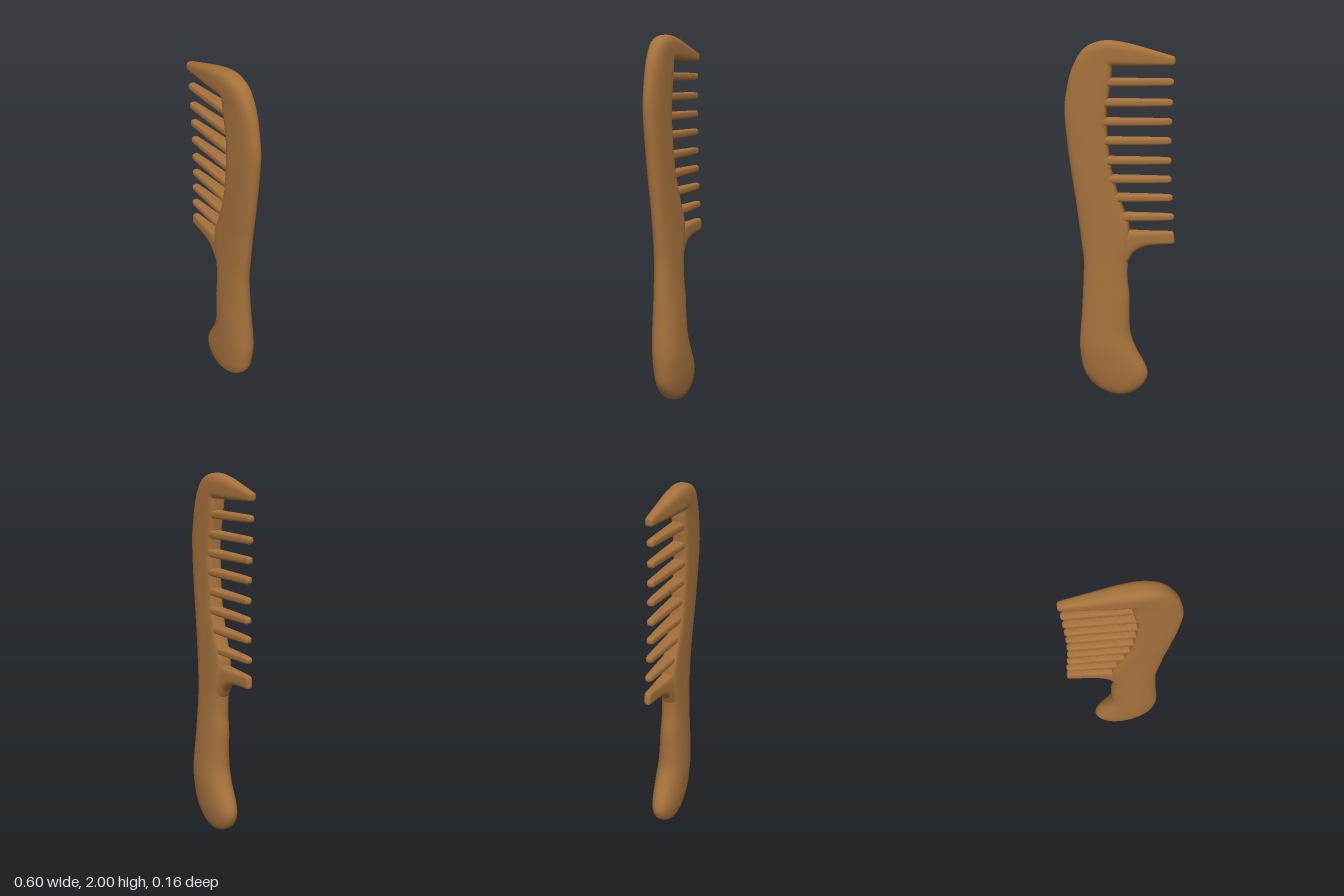
import * as THREE from 'three';

const wood = new THREE.MeshStandardMaterial({ color: 0xa5713c });
wood.name = 'warm wood';

// Lofts a closed skin through rows of
// [innerX, innerY, outerX, outerY, zCentre, halfThickness, innerRoundness, outerRoundness]
// (roundness 1 = elliptical edge, lower = squarer edge).
function loft(name, rows, steps, sides) {
  const curve = (a, b, c) => new THREE.CatmullRomCurve3(
    rows.map((r) => new THREE.Vector3(r[a], r[b], c === undefined ? 0 : r[c])), false, 'catmullrom', 0.5);
  const inner = curve(0, 1), outer = curve(2, 3), depth = curve(4, 5), round = curve(6, 7);
  const pos = [], index = [];
  const power = (v, e) => Math.sign(v) * Math.pow(Math.abs(v), e);
  for (let i = 0; i <= steps; i++) {
    const t = i / steps;
    const a = inner.getPoint(t), b = outer.getPoint(t), d = depth.getPoint(t), r = round.getPoint(t);
    for (let j = 0; j < sides; j++) {
      const angle = (j / sides) * Math.PI * 2;
      const c = Math.cos(angle), s = Math.sin(angle);
      const e = c < 0 ? r.x : r.y;
      const u = 0.5 + 0.5 * power(c, e);
      pos.push(a.x + (b.x - a.x) * u, a.y + (b.y - a.y) * u, d.x + d.y * power(s, e));
    }
  }
  for (let i = 0; i < steps; i++) {
    for (let j = 0; j < sides; j++) {
      const k = (j + 1) % sides, p = i * sides, q = p + sides;
      index.push(p + j, q + j, p + k, p + k, q + j, q + k);
    }
  }
  // close both ends
  [0, steps].forEach((ring) => {
    const row = rows[ring === 0 ? 0 : rows.length - 1];
    const centre = pos.length / 3, p = ring * sides;
    pos.push((row[0] + row[2]) / 2, (row[1] + row[3]) / 2, row[4]);
    for (let j = 0; j < sides; j++) {
      const k = (j + 1) % sides;
      if (ring === 0) index.push(centre, p + j, p + k);
      else index.push(centre, p + k, p + j);
    }
  });
  const geometry = new THREE.BufferGeometry();
  geometry.setAttribute('position', new THREE.Float32BufferAttribute(pos, 3));
  geometry.setIndex(index);
  geometry.computeVertexNormals();
  const mesh = new THREE.Mesh(geometry, wood);
  mesh.name = name;
  return mesh;
}

export function createModel() {
  const comb = new THREE.Group();
  comb.name = 'comb';

  // Handle: rounded butt and slim grip, running up to the first gap
  const handle = [
    [-0.02, 0, 0, 0, 0, 0.008, 1, 1],
    [-0.075, 0.018, 0.06, 0.012, 0, 0.04, 0.95, 0.95],
    [-0.12, 0.048, 0.12, 0.04, 0, 0.057, 0.9, 0.9],
    [-0.152, 0.09, 0.165, 0.08, 0, 0.067, 0.9, 0.9],
    [-0.163, 0.14, 0.2, 0.135, 0, 0.074, 0.9, 0.9],
    [-0.143, 0.2, 0.216, 0.2, 0, 0.078, 0.9, 0.9],
    [-0.095, 0.29, 0.226, 0.3, 0, 0.08, 0.9, 0.9],
    [-0.063, 0.385, 0.221, 0.4, 0.003, 0.077, 0.9, 0.9],
    [-0.058, 0.5, 0.213, 0.5, 0.006, 0.072, 0.9, 0.9],
    [-0.057, 0.6, 0.207, 0.6, 0.008, 0.066, 0.85, 0.9],
    [-0.046, 0.7, 0.202, 0.7, 0.01, 0.06, 0.8, 0.88],
    [-0.047, 0.8, 0.2, 0.81, 0.012, 0.055, 0.7, 0.85],
    [-0.055, 0.9, 0.209, 0.9, 0.013, 0.052, 0.5, 0.85],
  ];
  // Spine: squared edge at the tooth roots, rounded outer edge
  const spine = [
    [-0.05, 1.02, 0.223, 1.01, 0.015, 0.049, 0.4, 0.85],
    [-0.015, 1.12, 0.236, 1.12, 0.017, 0.047, 0.4, 0.85],
    [0.02, 1.22, 0.251, 1.22, 0.02, 0.046, 0.4, 0.85],
    [0.045, 1.32, 0.265, 1.32, 0.022, 0.045, 0.4, 0.85],
    [0.06, 1.43, 0.279, 1.43, 0.024, 0.045, 0.4, 0.85],
    [0.068, 1.53, 0.29, 1.54, 0.026, 0.045, 0.4, 0.85],
    [0.07, 1.63, 0.295, 1.64, 0.027, 0.045, 0.4, 0.85],
    [0.056, 1.73, 0.285, 1.73, 0.028, 0.045, 0.4, 0.85],
    [0.044, 1.82, 0.258, 1.84, 0.029, 0.046, 0.4, 0.8],
  ];
  // Head: sections fan round the last gap into the broad end prong
  const head = [
    [0.042, 1.865, 0.205, 1.94, 0.031, 0.047, 0.4, 0.75],
    [0.035, 1.87, 0.14, 1.985, 0.032, 0.048, 0.45, 0.7],
    [0.02, 1.87, 0.06, 1.999, 0.032, 0.048, 0.5, 0.7],
    [-0.04, 1.87, -0.04, 1.986, 0.031, 0.043, 0.5, 0.7],
    [-0.155, 1.873, -0.155, 1.956, 0.028, 0.032, 0.5, 0.7],
    [-0.265, 1.876, -0.27, 1.924, 0.025, 0.022, 0.55, 0.7],
    [-0.281, 1.878, -0.282, 1.919, 0.025, 0.019, 0.6, 0.7],
    [-0.288, 1.886, -0.288, 1.91, 0.025, 0.012, 0.7, 0.7],
  ];
  comb.add(loft('handleAndSpine', [...handle, ...spine, ...head], 232, 40));

  // Lower prong, flaring into the grip with a fillet
  comb.add(loft('lowerProng', [
    [0.07, 0.74, 0.08, 0.99, 0.013, 0.046, 0.7, 0.5],
    [-0.015, 0.76, 0.0, 0.988, 0.013, 0.043, 0.7, 0.5],
    [-0.047, 0.805, -0.04, 0.986, 0.013, 0.04, 0.7, 0.5],
    [-0.075, 0.855, -0.075, 0.985, 0.013, 0.037, 0.7, 0.5],
    [-0.127, 0.893, -0.127, 0.985, 0.012, 0.033, 0.7, 0.5],
    [-0.205, 0.91, -0.205, 0.985, 0.011, 0.026, 0.65, 0.5],
    [-0.28, 0.916, -0.275, 0.987, 0.01, 0.02, 0.6, 0.5],
    [-0.297, 0.92, -0.292, 0.983, 0.01, 0.017, 0.6, 0.6],
    [-0.302, 0.928, -0.298, 0.97, 0.01, 0.011, 0.7, 0.7],
  ], 64, 32));

  // Teeth: [height, root x, tip x], tapering in depth towards the tip
  const teeth = [
    [1.788, 0.05, -0.282], [1.682, 0.063, -0.279], [1.581, 0.069, -0.277], [1.48, 0.065, -0.276],
    [1.374, 0.053, -0.277], [1.273, 0.033, -0.28], [1.172, 0.003, -0.287], [1.066, -0.032, -0.296],
  ];
  teeth.forEach(([y, root, tip], n) => {
    const z = 0.012 + (y - 1) * 0.017;
    const row = (x, half, depth, lift, e) => [x, y + lift - half, x, y + lift + half, z, depth, e, e];
    comb.add(loft('tooth' + (n + 1), [
      row(root + 0.06, 0.023, 0.036, -0.002, 0.6),
      row(root, 0.022, 0.036, -0.002, 0.6),
      row((root + tip) / 2, 0.021, 0.028, 0, 0.6),
      row(tip + 0.03, 0.019, 0.021, 0.002, 0.65),
      row(tip + 0.012, 0.017, 0.018, 0.002, 0.7),
      row(tip + 0.003, 0.012, 0.013, 0.002, 0.8),
      row(tip, 0.006, 0.007, 0.002, 0.9),
    ], 30, 24));
  });

  return comb;
}
